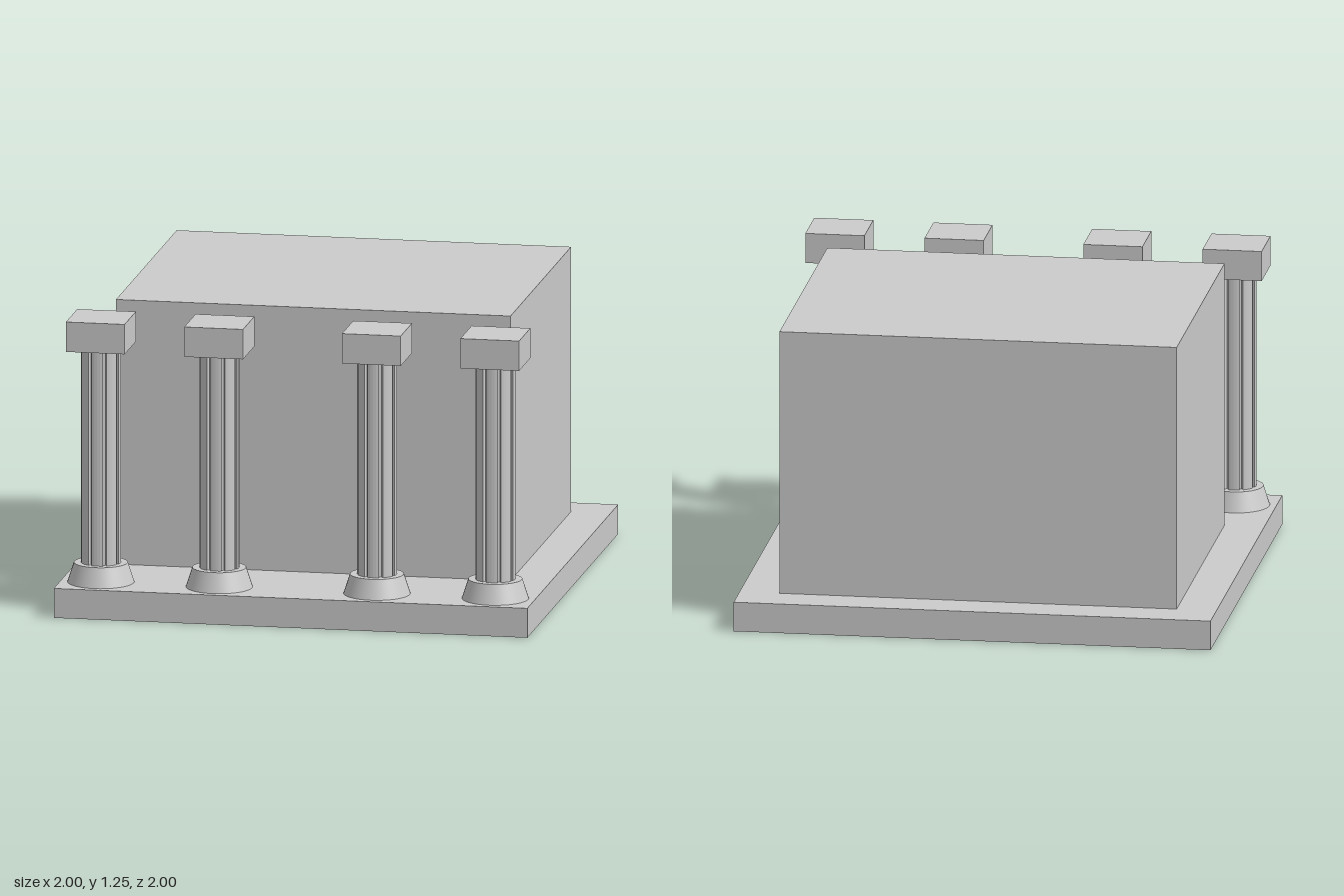
import * as THREE from 'three';

const SLAB = 0.125, TOP = 1.25, COLUMN_Z = 0.833;

// Fluted cross-section: eight rounded ribs with straight-sided grooves between
function flutedShape(outer, inner, ribs) {
  const shape = new THREE.Shape();
  const step = (Math.PI * 2) / ribs, half = step * 0.385;
  for (let i = 0; i < ribs; i++) {
    const a = i * step;
    const point = (r, t) => [r * Math.cos(a + t), r * Math.sin(a + t)];
    if (i === 0) shape.moveTo(...point(inner, -half));
    else shape.lineTo(...point(inner, -half));
    for (let k = -2; k <= 2; k++) shape.lineTo(...point(outer, (half * k) / 2));
    shape.lineTo(...point(inner, half));
  }
  shape.closePath();
  return shape;
}

export function createModel() {
  const model = new THREE.Group();
  model.name = 'temple';
  const material = new THREE.MeshStandardMaterial({ color: 0xcccccc });

  const add = (parent, name, geometry, x, y, z) => {
    const mesh = new THREE.Mesh(geometry, material);
    mesh.name = name;
    mesh.position.set(x, y, z);
    parent.add(mesh);
    return mesh;
  };

  // Floor slab and solid hall
  add(model, 'floorSlab', new THREE.BoxGeometry(2, SLAB, 2), 0, SLAB / 2, 0);
  add(model, 'hall', new THREE.BoxGeometry(1.666, TOP - SLAB, 1.333), 0, (TOP + SLAB) / 2, -0.167);

  // Shared column geometries
  const baseHeight = 0.083, capHeight = 0.127;
  const shaftBottom = SLAB + baseHeight, shaftTop = TOP - capHeight;
  const baseGeometry = new THREE.CylinderGeometry(0.112, 0.139, baseHeight, 40);
  const shaftGeometry = new THREE.ExtrudeGeometry(flutedShape(0.083, 0.066, 8), {
    depth: shaftTop - shaftBottom, bevelEnabled: false,
  });
  shaftGeometry.rotateX(-Math.PI / 2);
  const capGeometry = new THREE.BoxGeometry(0.248, capHeight, 0.248);

  // Row of four columns with a wider gap in the middle
  [-0.833, -0.333, 0.333, 0.833].forEach((x, i) => {
    const column = new THREE.Group();
    column.name = `column${i + 1}`;
    column.position.set(x, 0, COLUMN_Z);
    add(column, 'columnBase', baseGeometry, 0, SLAB + baseHeight / 2, 0);
    add(column, 'columnShaft', shaftGeometry, 0, shaftBottom, 0);
    add(column, 'columnCapital', capGeometry, 0, TOP - capHeight / 2, 0);
    model.add(column);
  });

  return model;
}
